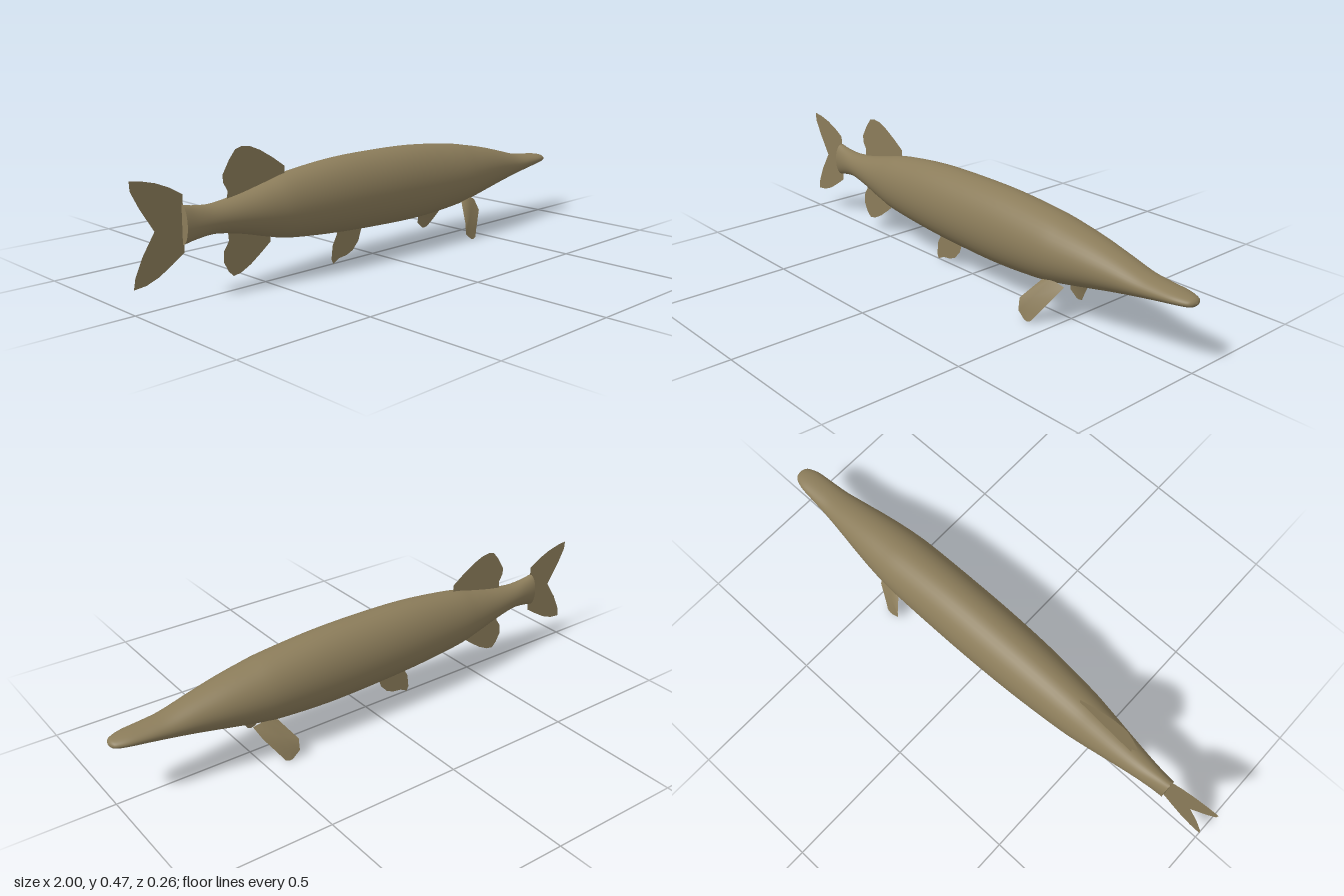
import * as THREE from 'three';

const skin = new THREE.MeshStandardMaterial({ color: 0x8b7c5a, side: THREE.DoubleSide });
skin.name = 'olive skin';

// Body stations from tail to snout: x, bottom, top, half width
const STATIONS = [
  [-0.82, 0.19, 0.318, 0.03], [-0.77, 0.2, 0.308, 0.035], [-0.7, 0.205, 0.304, 0.045],
  [-0.6, 0.187, 0.318, 0.061], [-0.5, 0.16, 0.34, 0.077], [-0.4, 0.138, 0.362, 0.09],
  [-0.2, 0.119, 0.383, 0.105], [0, 0.109, 0.387, 0.112], [0.2, 0.105, 0.382, 0.113],
  [0.4, 0.117, 0.363, 0.111], [0.5, 0.133, 0.346, 0.104], [0.6, 0.153, 0.326, 0.091],
  [0.7, 0.173, 0.301, 0.075], [0.8, 0.191, 0.274, 0.06], [0.87, 0.203, 0.264, 0.053],
  [0.94, 0.214, 0.257, 0.046], [0.98, 0.219, 0.25, 0.033], [0.994, 0.224, 0.244, 0.02],
  [1, 0.233, 0.235, 0.001],
];

function bodyGeometry(rings, sides) {
  const heights = new THREE.CatmullRomCurve3(
    STATIONS.map(([x, b, t]) => new THREE.Vector3(x, b, t)), false, 'catmullrom');
  const widths = new THREE.CatmullRomCurve3(
    STATIONS.map(([x, , , w]) => new THREE.Vector3(x, w, 0)), false, 'catmullrom');
  const pos = [], index = [];
  for (let i = 0; i <= rings; i++) {
    const h = heights.getPoint(i / rings), w = widths.getPoint(i / rings).y;
    for (let j = 0; j < sides; j++) {
      const a = (j / sides) * Math.PI * 2;
      pos.push(h.x, (h.y + h.z) / 2 + Math.cos(a) * (h.z - h.y) / 2, Math.sin(a) * w);
      if (i === rings) continue;
      const p = i * sides + j, q = i * sides + (j + 1) % sides;
      index.push(p, q, p + sides, q, q + sides, p + sides);
    }
  }
  const geo = new THREE.BufferGeometry();
  geo.setAttribute('position', new THREE.Float32BufferAttribute(pos, 3));
  geo.setIndex(index);
  geo.computeVertexNormals();
  return geo;
}

// Flat fin in the middle plane from an outline of [x, y] points
function flatFin(points) {
  return new THREE.ShapeGeometry(new THREE.Shape(points.map(([x, y]) => new THREE.Vector2(x, y))));
}

// Paired fin: rows of rear edge, raised ridge and front edge, from root to tip
function pectoralGeometry(side) {
  const rows = [
    [[0.42, 0.14, 0.062], [0.465, 0.155, 0.065], [0.51, 0.135, 0.05]],
    [[0.375, 0.075, 0.122], [0.425, 0.09, 0.104], [0.495, 0.1, 0.088]],
    [[0.375, 0.03, 0.127], [0.41, 0.04, 0.121], [0.45, 0.035, 0.114]],
    [[0.405, 0.006, 0.128], [0.418, 0.004, 0.128], [0.432, 0.009, 0.126]],
  ];
  const geo = new THREE.BufferGeometry();
  const pos = rows.flat().flatMap(([x, y, z]) => [x, y, z * side]);
  const index = [];
  for (let r = 0; r < 3; r++) for (let c = 0; c < 2; c++) {
    const p = r * 3 + c;
    if (side > 0) index.push(p, p + 3, p + 1, p + 1, p + 3, p + 4);
    else index.push(p, p + 1, p + 3, p + 1, p + 4, p + 3);
  }
  geo.setAttribute('position', new THREE.Float32BufferAttribute(pos, 3));
  geo.setIndex(index);
  geo.computeVertexNormals();
  return geo;
}

export function createModel() {
  const fish = new THREE.Group();
  fish.name = 'fish';
  const add = (name, geo) => {
    const mesh = new THREE.Mesh(geo, skin);
    mesh.name = name;
    fish.add(mesh);
    return mesh;
  };

  add('body', bodyGeometry(90, 40));

  // Flat end of the tail stalk
  const cap = add('tailStalkEnd', new THREE.CircleGeometry(1, 40).rotateY(-Math.PI / 2));
  cap.position.set(-0.82, 0.254, 0);
  cap.scale.set(1, 0.064, 0.03);

  add('tailFin', flatFin([
    [-0.815, 0.35], [-0.86, 0.377], [-0.91, 0.398], [-0.96, 0.411], [-1, 0.416],
    [-0.998, 0.385], [-0.97, 0.33], [-0.92, 0.25], [-0.965, 0.18], [-0.993, 0.12],
    [-1, 0.083], [-0.955, 0.088], [-0.91, 0.105], [-0.86, 0.135], [-0.815, 0.165],
  ]));
  add('dorsalFin', flatFin([
    [-0.41, 0.34], [-0.41, 0.385], [-0.46, 0.42], [-0.51, 0.45], [-0.55, 0.467],
    [-0.585, 0.472], [-0.61, 0.465], [-0.635, 0.435], [-0.662, 0.39], [-0.662, 0.365],
    [-0.645, 0.335], [-0.65, 0.29], [-0.5, 0.31],
  ]));
  add('analFin', flatFin([
    [-0.475, 0.18], [-0.475, 0.137], [-0.52, 0.103], [-0.56, 0.075], [-0.6, 0.055],
    [-0.63, 0.05], [-0.65, 0.07], [-0.668, 0.105], [-0.665, 0.14], [-0.645, 0.17],
    [-0.65, 0.22], [-0.55, 0.21],
  ]));
  add('pelvicFin', flatFin([
    [-0.055, 0.14], [-0.06, 0.1], [-0.072, 0.065], [-0.1, 0.035], [-0.13, 0.022],
    [-0.165, 0.018], [-0.195, 0.003], [-0.203, 0.02], [-0.197, 0.07], [-0.175, 0.11],
    [-0.18, 0.15],
  ]));

  for (const side of [1, -1]) {
    add(side > 0 ? 'nearPectoralFin' : 'farPectoralFin', pectoralGeometry(side));
  }
  return fish;
}
